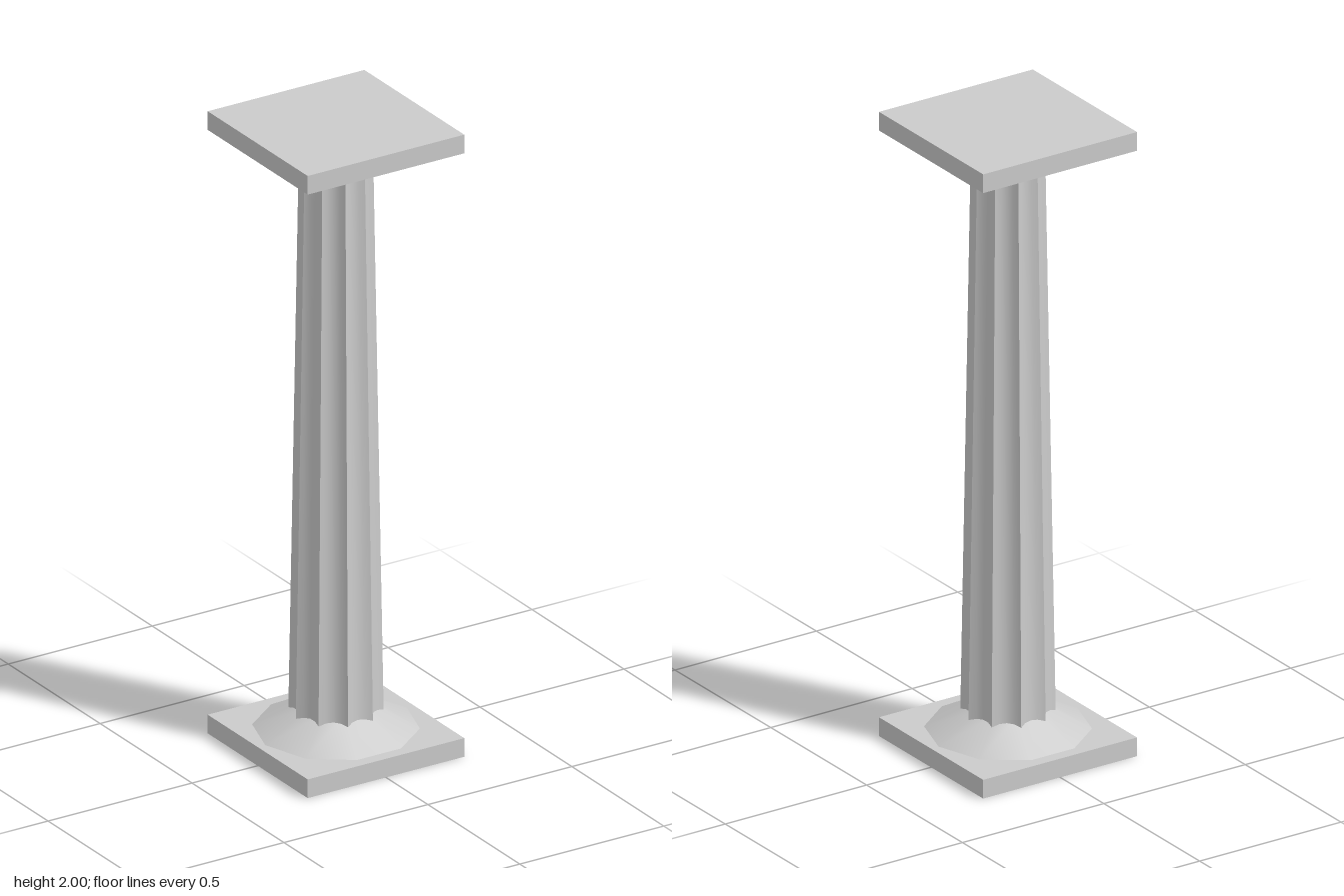
import * as THREE from 'three';
import { toCreasedNormals } from 'three/addons/utils/BufferGeometryUtils.js';

const FLUTES = 10, STEPS = 4;

// Star-like outline: sharp ridges joined by shallow concave arcs
function flutedOutline(radius, depth) {
  const points = [];
  const step = (Math.PI * 2) / FLUTES;
  for (let i = 0; i < FLUTES; i++) {
    const a = new THREE.Vector2(Math.cos(i * step), Math.sin(i * step)).multiplyScalar(radius);
    const b = new THREE.Vector2(Math.cos((i + 1) * step), Math.sin((i + 1) * step)).multiplyScalar(radius);
    const inward = a.clone().add(b).normalize().negate();
    for (let k = 0; k < STEPS; k++) {
      const t = k / STEPS;
      points.push(a.clone().lerp(b, t).addScaledVector(inward, depth * 4 * t * (1 - t)));
    }
  }
  return points;
}

export function createModel() {
  const group = new THREE.Group();
  const material = new THREE.MeshStandardMaterial({ color: 0xcccccc });
  const add = (name, geometry, y) => {
    const mesh = new THREE.Mesh(geometry, material);
    mesh.name = name;
    mesh.position.y = y;
    group.add(mesh);
  };

  // Square slabs at the foot and the head
  const slab = new THREE.BoxGeometry(0.544, 0.06, 0.544);
  add('plinth', slab, 0.03);
  add('abacus', slab, 1.97);

  // Flaring ten-sided collars, ridges lined up with the shaft
  add('baseCollar', new THREE.CylinderGeometry(0.1, 0.246, 0.08, FLUTES, 1, false, Math.PI / 2), 0.1);
  add('capitalCollar', new THREE.CylinderGeometry(0.22, 0.085, 0.07, FLUTES, 1, false, Math.PI / 2), 1.905);

  // Tapered fluted shaft, its ends sunk into the collars
  const bottom = 0.1, height = 1.8, taper = 0.78;
  const shaft = new THREE.ExtrudeGeometry(new THREE.Shape(flutedOutline(0.14, 0.014)), {
    depth: height, bevelEnabled: false,
  });
  shaft.rotateX(-Math.PI / 2);
  const p = shaft.attributes.position;
  for (let i = 0; i < p.count; i++) {
    const s = 1 + (taper - 1) * (p.getY(i) / height);
    p.setX(i, p.getX(i) * s);
    p.setZ(i, p.getZ(i) * s);
  }
  add('flutedShaft', toCreasedNormals(shaft, 0.5), bottom);

  return group;
}
